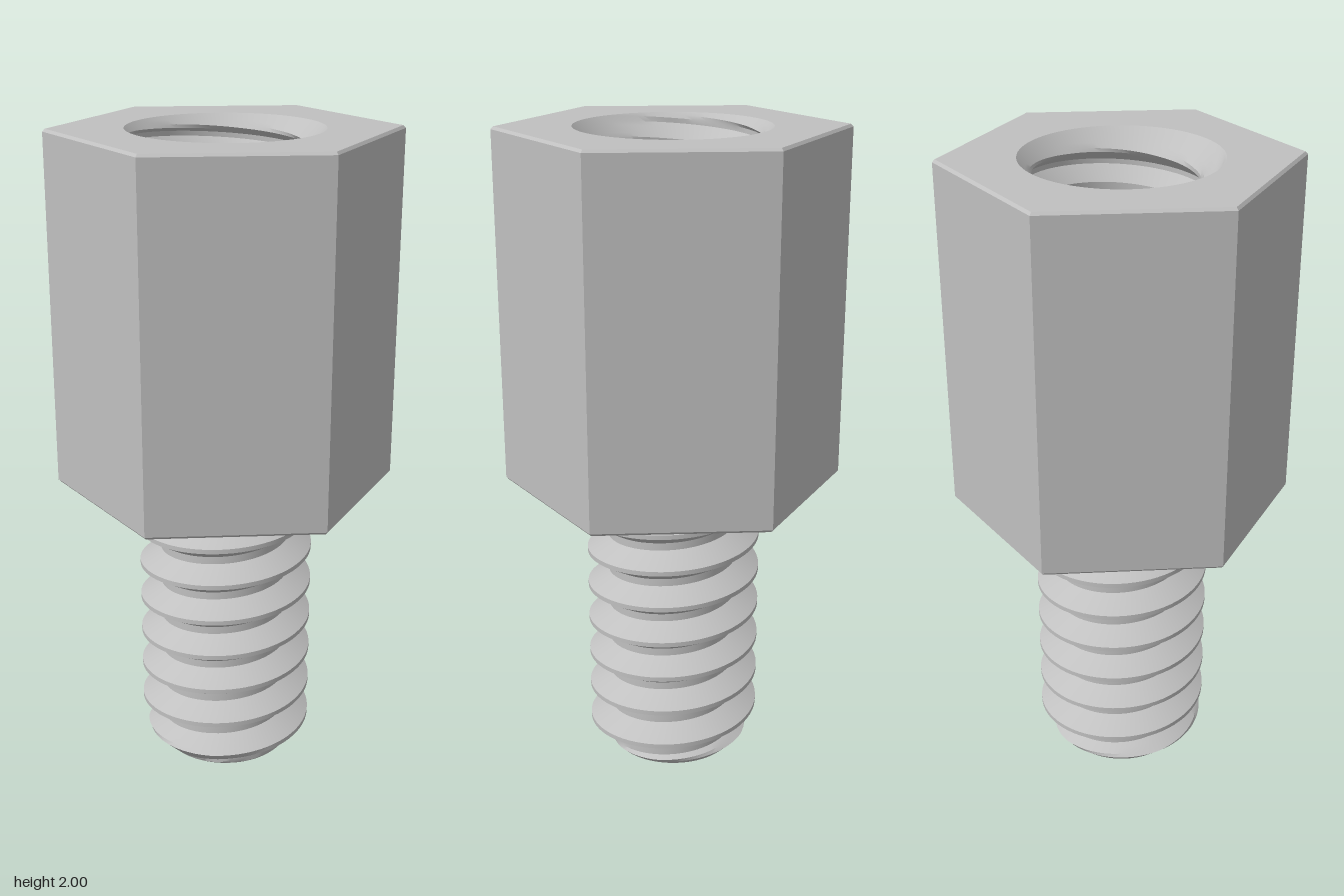
import * as THREE from 'three';
import { toCreasedNormals } from 'three/addons/utils/BufferGeometryUtils.js';

const PITCH = 0.1205;
const HEX_BOTTOM = 0.92, TOP = 2, HEX_RADIUS = 0.52, BEVEL = 0.008;
const SCREW_TIP = 0.2, BORE_FLOOR = 1.1, BORE_MOUTH = 0.29;

// Right-handed thread surface between two heights; limit(r, y) trims it to a chamfer
function threadGeometry({ minor, major, y0, y1, phase, limit, inward = false }) {
  const SEGMENTS = 72, STEPS = 4;
  // one pitch of the profile: [fraction of pitch, radius], centred on the crest
  const corners = [[-0.5, minor], [-0.4, minor], [-0.06, major], [0.06, major], [0.4, minor], [0.5, minor]];
  const rows = [];
  const first = Math.floor((y0 - phase) / PITCH) - 2;
  const last = Math.ceil((y1 - phase) / PITCH) + 1;
  for (let k = first; k <= last; k++) {
    for (let c = 0; c < corners.length - 1; c++) {
      const [fa, ra] = corners[c], [fb, rb] = corners[c + 1];
      const steps = ra === rb ? 1 : STEPS;
      for (let s = 0; s < steps; s++) {
        const t = s / steps;
        rows.push([phase + (k + fa + (fb - fa) * t) * PITCH, ra + (rb - ra) * t]);
      }
    }
  }
  const point = ([h, r], i) => {
    const a = (i / SEGMENTS) * Math.PI * 2;
    const y = THREE.MathUtils.clamp(h + (i / SEGMENTS) * PITCH, y0, y1);
    const radius = limit(r, y);
    return new THREE.Vector3(radius * Math.cos(a), y, -radius * Math.sin(a));
  };
  const positions = [];
  const triangle = (a, b, c) => {
    if (new THREE.Triangle(a, b, c).getArea() < 1e-8) return;
    for (const p of inward ? [a, c, b] : [a, b, c]) positions.push(p.x, p.y, p.z);
  };
  for (let j = 0; j < rows.length - 1; j++) {
    for (let i = 0; i < SEGMENTS; i++) {
      const a = point(rows[j], i), b = point(rows[j], i + 1);
      const c = point(rows[j + 1], i + 1), d = point(rows[j + 1], i);
      triangle(a, b, c);
      triangle(a, c, d);
    }
  }
  const geometry = new THREE.BufferGeometry();
  geometry.setAttribute('position', new THREE.Float32BufferAttribute(positions, 3));
  return toCreasedNormals(geometry, 0.5);
}

export function createModel() {
  const group = new THREE.Group();
  const steel = new THREE.MeshStandardMaterial({ color: 0xc0c0c0 });
  steel.name = 'steel';
  const add = (name, geometry) => {
    const mesh = new THREE.Mesh(geometry, steel);
    mesh.name = name;
    group.add(mesh);
    return mesh;
  };

  // Hexagonal body: bevelled sides and underside
  const profile = [
    [0, HEX_BOTTOM], [HEX_RADIUS - BEVEL, HEX_BOTTOM], [HEX_RADIUS, HEX_BOTTOM + BEVEL],
    [HEX_RADIUS, TOP - BEVEL], [HEX_RADIUS - BEVEL, TOP],
  ].map(([x, y]) => new THREE.Vector2(x, y));
  add('hexBody', toCreasedNormals(new THREE.LatheGeometry(profile, 6, Math.PI / 2), 0.3));

  // Top face with the round bore mouth
  const face = new THREE.Shape();
  for (let i = 0; i < 6; i++) {
    const a = (i * Math.PI) / 3, r = HEX_RADIUS - BEVEL;
    face[i ? 'lineTo' : 'moveTo'](r * Math.cos(a), r * Math.sin(a));
  }
  face.closePath();
  face.holes.push(new THREE.Path().absarc(0, 0, BORE_MOUTH, 0, Math.PI * 2, true));
  add('topFace', new THREE.ShapeGeometry(face, 36).rotateX(-Math.PI / 2).translate(0, TOP, 0));

  // Threaded bore with a countersunk mouth and flat floor
  add('boreThread', threadGeometry({
    minor: 0.225, major: 0.275, y0: BORE_FLOOR, y1: TOP, phase: 0.1, inward: true,
    limit: (r, y) => Math.max(r, BORE_MOUTH - (TOP - y)),
  }));
  add('boreFloor', new THREE.CircleGeometry(0.28, 72).rotateX(-Math.PI / 2).translate(0, BORE_FLOOR, 0));

  // Threaded stud with a chamfered tip
  add('studThread', threadGeometry({
    minor: 0.205, major: 0.272, y0: 0, y1: HEX_BOTTOM + 0.01, phase: 0.1,
    limit: (r, y) => Math.min(r, SCREW_TIP + y),
  }));
  add('studTip', new THREE.CircleGeometry(SCREW_TIP, 72).rotateX(Math.PI / 2));

  return group;
}
